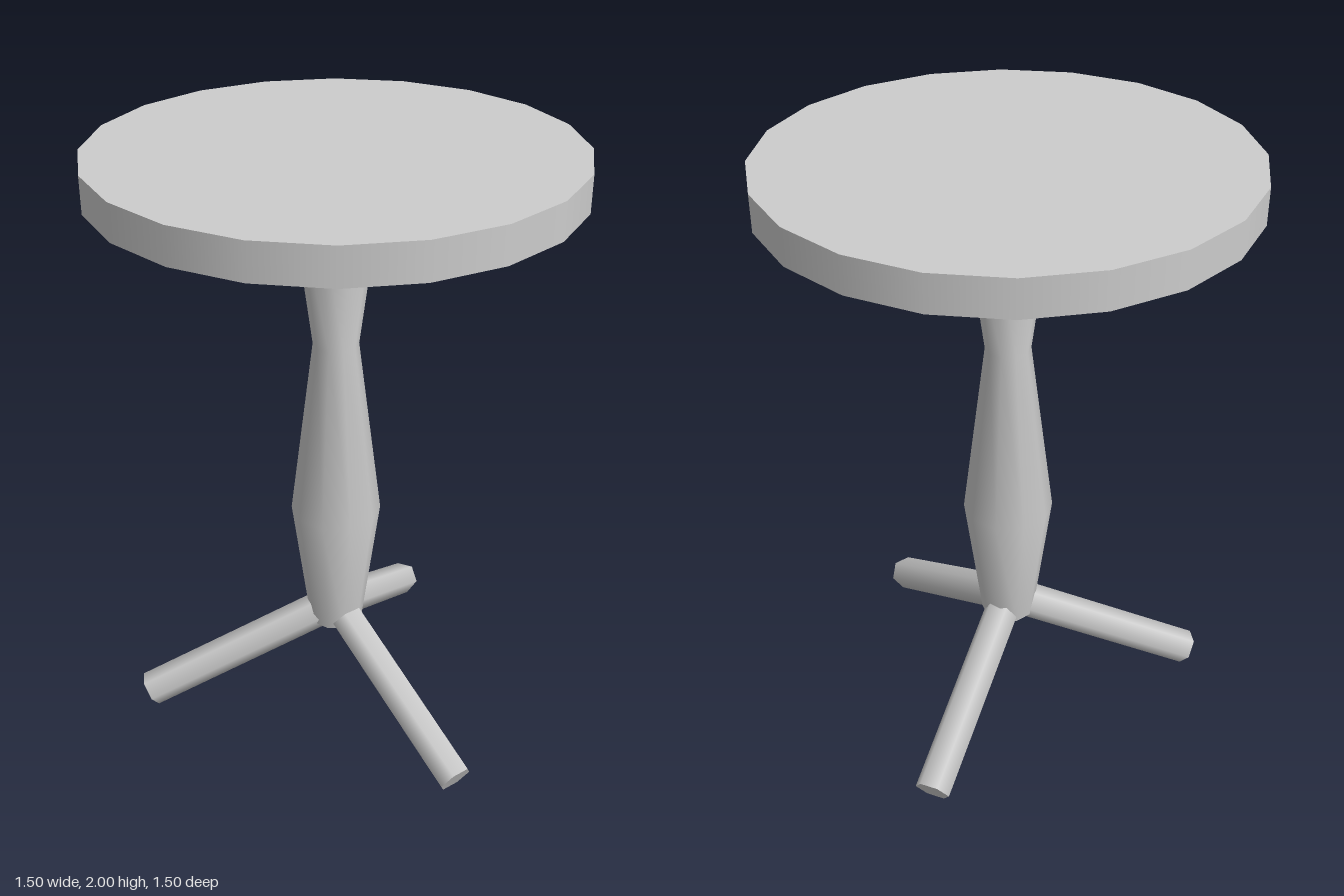
import * as THREE from 'three';

export function createModel() {
  const model = new THREE.Group();
  model.name = 'pedestalTable';
  const grey = new THREE.MeshStandardMaterial({ name: 'plain grey', color: 0xcccccc });

  const add = (name, geometry, parent = model) => {
    const mesh = new THREE.Mesh(geometry, grey);
    mesh.name = name;
    parent.add(mesh);
    return mesh;
  };

  // Twenty-sided round top
  add('tableTop', new THREE.CylinderGeometry(0.75, 0.75, 0.115, 20)).position.y = 1.9425;

  // Turned ten-sided column, with a separate flat underside
  const profile = [
    [0.09, 0.325], [0.148, 0.77], [0.073, 1.375], [0.131, 1.825], [0.088, 1.885],
  ].map(([r, y]) => new THREE.Vector2(r, y));
  add('column', new THREE.LatheGeometry(profile, 10));
  const base = add('columnBase', new THREE.CircleGeometry(0.09, 10, Math.PI / 2));
  base.rotation.x = Math.PI / 2;
  base.position.y = 0.325;

  // Three hexagonal legs splayed evenly, one towards +x
  const inner = new THREE.Vector3(0, 0.38, 0);
  const foot = new THREE.Vector3(0.66, 0.048, 0);
  const along = foot.clone().sub(inner);
  const legGeometry = new THREE.CylinderGeometry(0.06, 0.06, along.length(), 6);
  for (let i = 0; i < 3; i++) {
    const pivot = new THREE.Group();
    pivot.name = `leg${i + 1}`;
    pivot.rotation.y = (i * Math.PI * 2) / 3;
    const leg = add('legBar', legGeometry, pivot);
    leg.position.copy(inner).add(foot).multiplyScalar(0.5);
    leg.rotation.z = Math.atan2(along.y, along.x) - Math.PI / 2;
    model.add(pivot);
  }
  return model;
}
